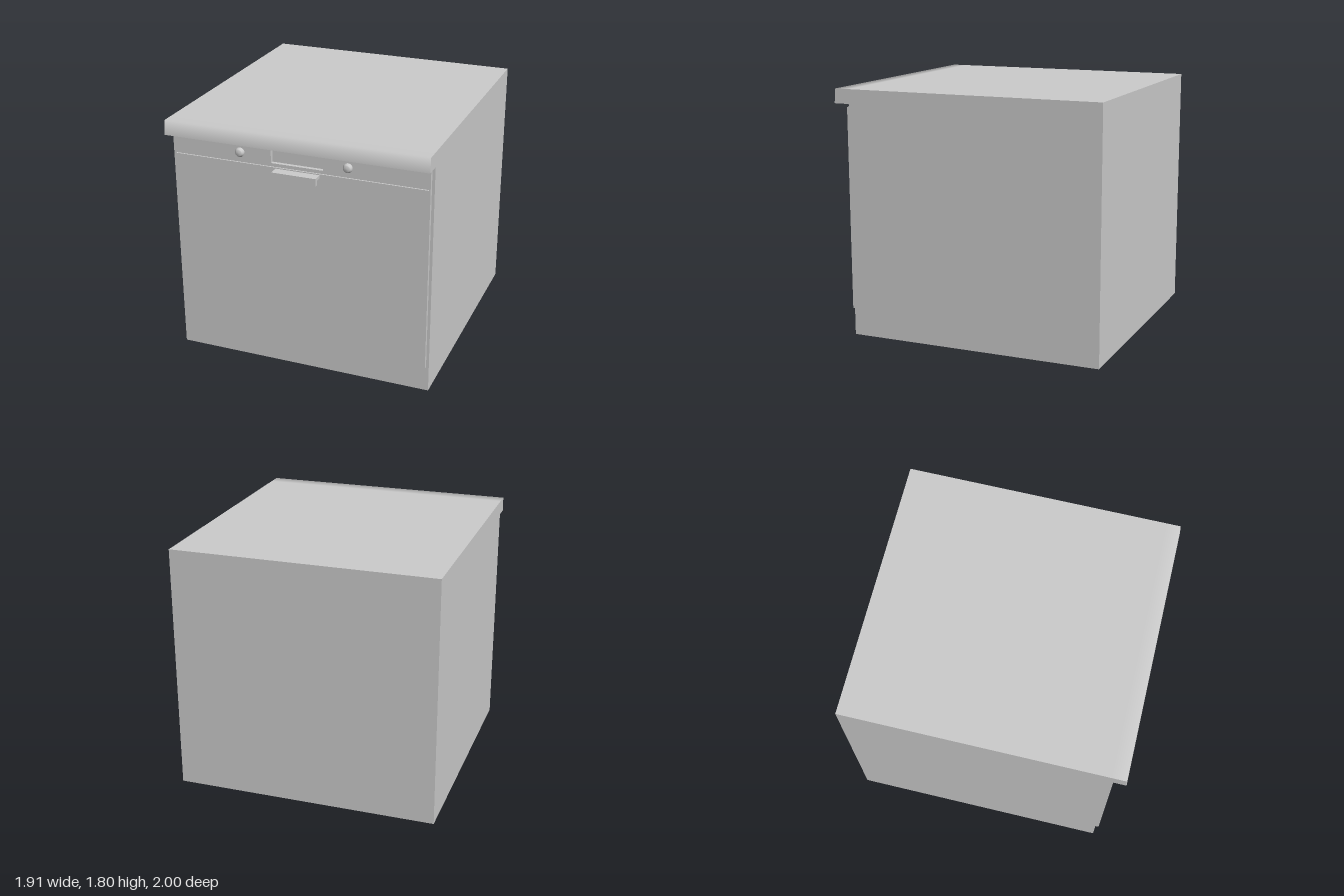
import * as THREE from 'three';

const grey = new THREE.MeshStandardMaterial({ color: 0xcccccc });

function part(name, geometry) {
  const mesh = new THREE.Mesh(geometry, grey);
  mesh.name = name;
  return mesh;
}

const rect = (x0, x1, y0, y1) => [[x0, y0], [x1, y0], [x1, y1], [x0, y1]].map(p => new THREE.Vector2(...p));

// Side profile of [z, y] points swept across x from x0 to x1
function sweepX(points, x0, x1) {
  const shape = new THREE.Shape(points.map(p => new THREE.Vector2(...p)));
  const geo = new THREE.ExtrudeGeometry(shape, { depth: x1 - x0, bevelEnabled: false });
  geo.rotateY(-Math.PI / 2);
  geo.translate(x1, 0, 0);
  return geo;
}

export function createModel() {
  const model = new THREE.Group();
  model.name = 'dishwasher';

  // Cabinet with overhanging worktop lip
  const lipTop = [0.992, 1.803];
  const body = sweepX([
    [-1, 0], [0.885, 0], [0.885, 1.698], [1, 1.698], lipTop, [0.885, 1.803], [-1, 1.803],
  ], -0.957, 0.957);
  // Soften the shading where the worktop turns down into the lip
  const pos = body.attributes.position;
  const nor = body.attributes.normal;
  for (let i = 0; i < pos.count; i++) {
    const onEdge = Math.abs(pos.getZ(i) - lipTop[0]) < 1e-4 && Math.abs(pos.getY(i) - lipTop[1]) < 1e-4;
    if (onEdge && Math.abs(nor.getX(i)) < 0.5) nor.setXYZ(i, 0, Math.SQRT1_2, Math.SQRT1_2);
  }
  model.add(part('cabinet', body));

  // Door panel, with a seam groove and a display recess cut into it
  const door = new THREE.Shape(rect(-0.937, 0.937, 0.19, 1.673));
  door.holes.push(
    new THREE.Path(rect(-0.925, 0.925, 1.538, 1.543)),
    new THREE.Path(rect(-0.197, 0.184, 1.567, 1.66)),
  );
  const doorGeo = new THREE.ExtrudeGeometry(door, { depth: 0.027, bevelEnabled: false });
  doorGeo.translate(0, 0, 0.885);
  model.add(part('door', doorGeo));

  // Hooked handle below the seam
  model.add(part('handle', sweepX([
    [0.91, 1.508], [0.958, 1.508], [0.958, 1.475], [0.985, 1.475], [0.985, 1.531], [0.91, 1.531],
  ], -0.164, 0.159)));

  // Two round knobs either side of the display
  const knobProfile = [[0.033, 0], [0.034, 0.01], [0.031, 0.017], [0.025, 0.023], [0.021, 0.03], [0, 0.031]]
    .map(p => new THREE.Vector2(...p));
  for (const [name, x] of [['rightKnob', -0.427], ['leftKnob', 0.364]]) {
    const knob = part(name, new THREE.LatheGeometry(knobProfile, 32));
    knob.rotation.x = Math.PI / 2;
    knob.position.set(x, 1.615, 0.911);
    model.add(knob);
  }

  return model;
}
